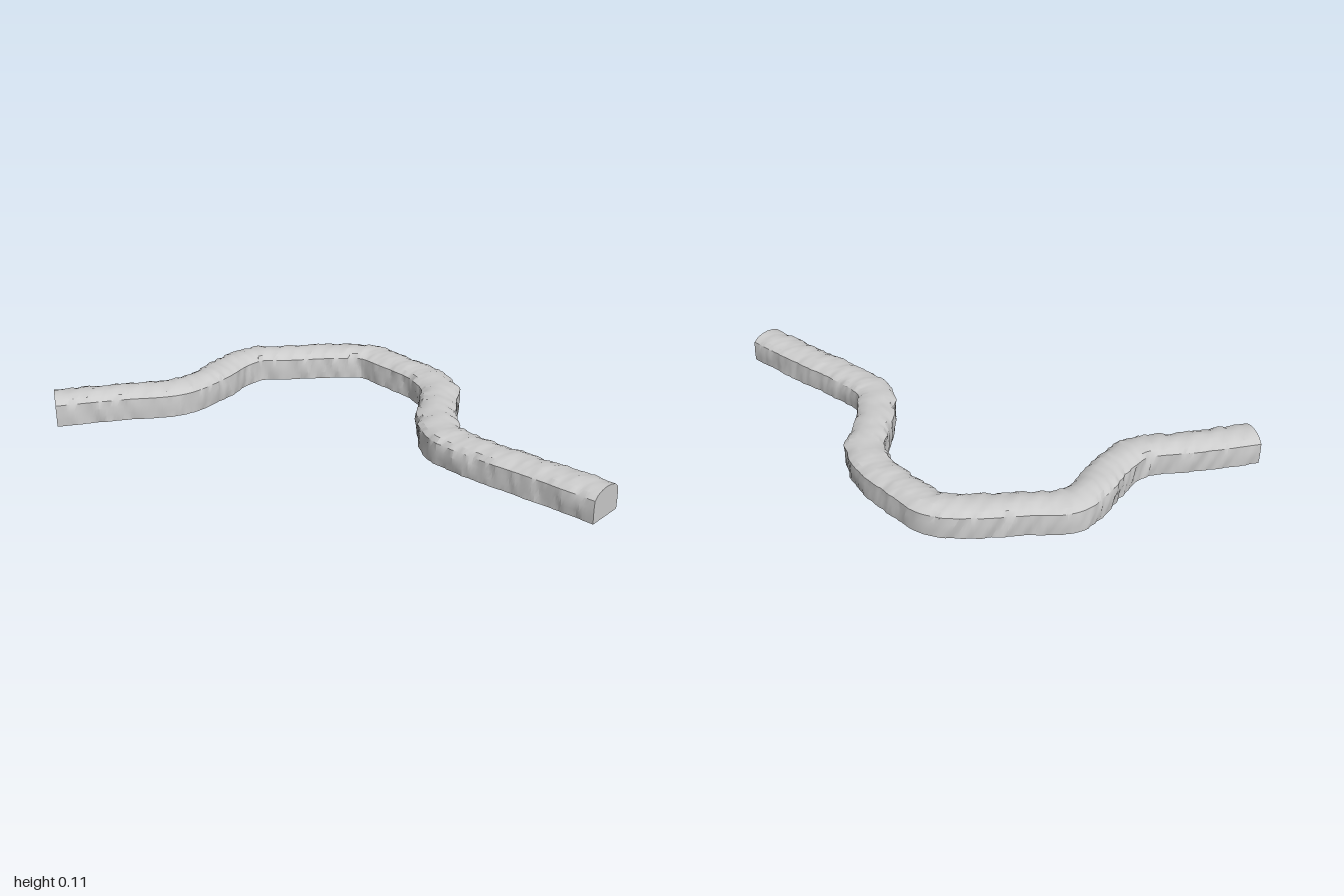
import * as THREE from 'three';
import { toCreasedNormals } from 'three/addons/utils/BufferGeometryUtils.js';

// Smooth deterministic bumps, about -1..1
function bump(x, y, z) {
  return 0.4 * Math.sin(41 * x + 23 * y + 9) * Math.sin(37 * z - 19 * y + 2)
    + 0.35 * Math.sin(83 * x - 60 * z + 71 * y) * Math.sin(67 * z + 31 * x + 1)
    + 0.25 * Math.sin(151 * x + 133 * y + 4) * Math.sin(139 * z - 97 * y);
}

// Winding centreline on the ground, as [x, z]
const path = [
  [-0.955, 0.425], [-0.86, 0.35], [-0.76, 0.275], [-0.61, 0.165], [-0.56, 0], [-0.545, -0.13],
  [-0.505, -0.225], [-0.39, -0.29], [-0.24, -0.375], [-0.12, -0.417], [0.01, -0.37],
  [0.16, -0.295], [0.25, -0.2], [0.285, -0.08], [0.325, 0.03], [0.395, 0.145],
  [0.55, 0.212], [0.75, 0.27], [0.978, 0.343],
];

// Cross-section [across, height]: flat base, upright walls, domed top
const half = [[0.066, 0.002], [0.068, 0.028], [0.068, 0.054], [0.066, 0.08], [0.05, 0.094], [0.026, 0.102]];
const section = [...half, [0, 0.105], ...half.map(([s, y]) => [-s, y]).reverse()];

function sweptBank(steps) {
  const curve = new THREE.CatmullRomCurve3(path.map(([x, z]) => new THREE.Vector3(x, 0, z)));
  const pos = [], index = [], n = section.length;
  for (let i = 0; i <= steps; i++) {
    const p = curve.getPointAt(i / steps), t = curve.getTangentAt(i / steps);
    const fade = Math.min(1, i / 4, (steps - i) / 4); // clean cut ends
    for (const [s, y] of section) {
      const x = p.x - t.z * s, z = p.z + t.x * s;
      const b = bump(x, y, z) * fade;
      const side = s * (1 + 0.13 * b);
      const h = y < 0.01 ? y + 0.002 * b : y + 0.005 * b * (y / 0.1);
      pos.push(p.x - t.z * side, h, p.z + t.x * side);
    }
  }
  for (let i = 0; i < steps; i++) {
    for (let j = 0; j < n; j++) {
      const k = (j + 1) % n;
      const a = i * n + j, b = a + n, c = (i + 1) * n + k, d = i * n + k;
      index.push(a, b, c, a, c, d);
    }
  }
  // End caps as fans around a middle point
  for (const [i, flip] of [[0, false], [steps, true]]) {
    const p = curve.getPointAt(i / steps), mid = pos.length / 3;
    pos.push(p.x, 0.05, p.z);
    for (let j = 0; j < n; j++) {
      const a = i * n + j, b = i * n + (j + 1) % n;
      if (flip) index.push(mid, b, a);
      else index.push(mid, a, b);
    }
  }
  const geo = new THREE.BufferGeometry();
  geo.setAttribute('position', new THREE.Float32BufferAttribute(pos, 3));
  geo.setIndex(index);
  return toCreasedNormals(geo, 0.55);
}

export function createModel() {
  const group = new THREE.Group();
  group.name = 'windingBank';
  const bank = new THREE.Mesh(sweptBank(220), new THREE.MeshStandardMaterial({ color: 0xcccccc }));
  bank.name = 'bank';
  group.add(bank);
  return group;
}
